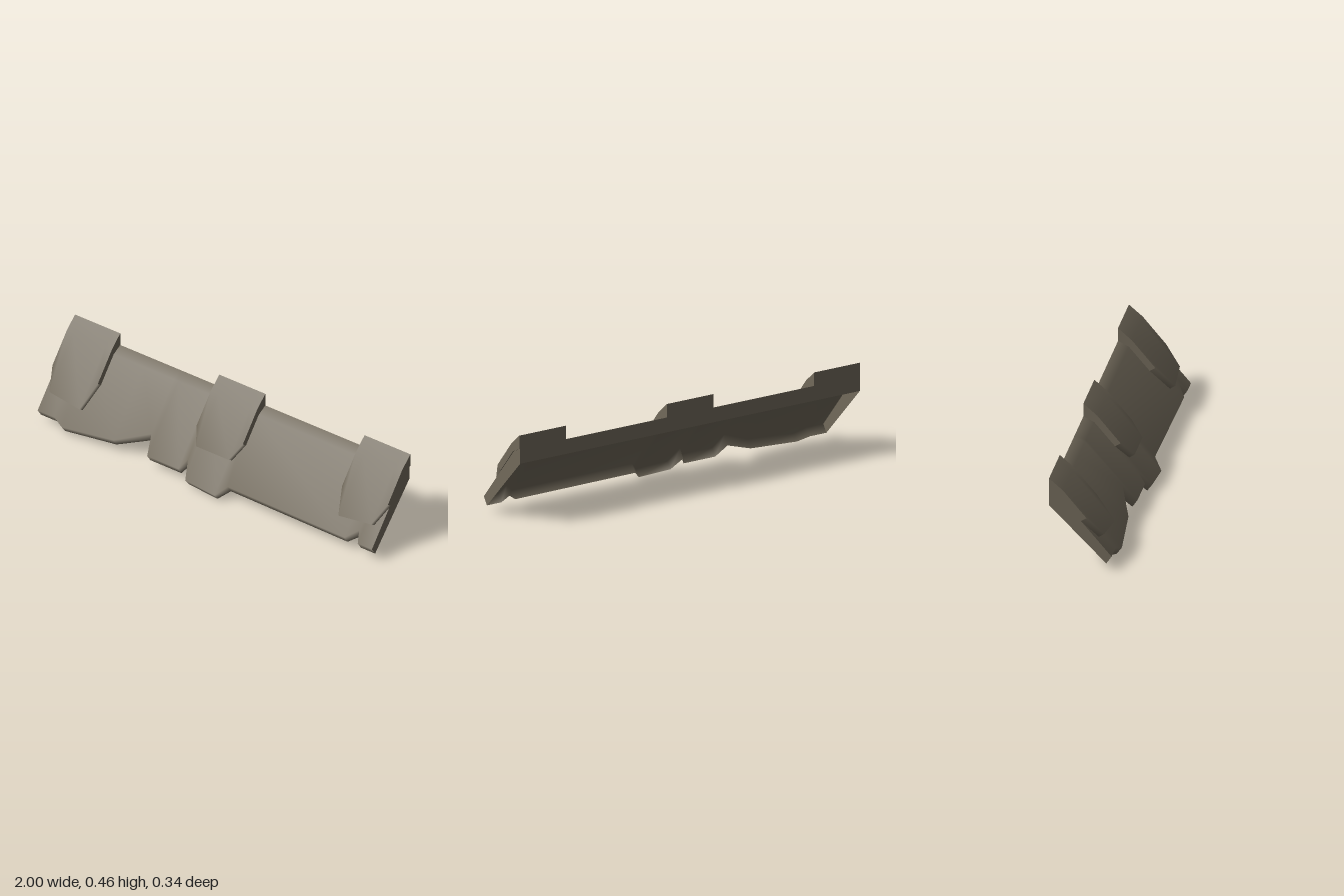
import * as THREE from 'three';
import { mergeGeometries } from 'three/addons/utils/BufferGeometryUtils.js';

const stone = new THREE.MeshStandardMaterial({ color: 0x726a5b, side: THREE.DoubleSide });
stone.name = 'weathered stone';

const BACK = -0.168;
// Sloping face of the slab: depth at height y
const slopeZ = (y) => -0.115 + (0.37 - y) / 1.17;

function surface(points, index) {
  const geo = new THREE.BufferGeometry();
  geo.setAttribute('position', new THREE.Float32BufferAttribute(points.flat(), 3));
  geo.setIndex(index);
  geo.computeVertexNormals();
  return geo;
}

// Smooth sheet through equal-length rows of points
function sheet(rows) {
  const n = rows[0].length, index = [];
  for (let i = 0; i < rows.length - 1; i++) {
    for (let k = 0; k < n - 1; k++) {
      const a = i * n + k, b = a + n;
      index.push(a, a + 1, b + 1, a, b + 1, b);
    }
  }
  return surface(rows.flat(), index);
}

// Flat end wall, fanned from the last point of its outline
function endWall(ring, facesLeft) {
  const hub = ring.length - 1, index = [];
  for (let k = 0; k < hub - 1; k++) {
    index.push(hub, ...(facesLeft ? [k, k + 1] : [k + 1, k]));
  }
  return surface(ring, index);
}

// Shell, open underneath, through outlines of [z, y] points at increasing x:
// points 0-1 make the back wall, points 1-4 the top, slope and lip
function shell(name, columns, outlineAt) {
  const rings = columns.map(([x, y]) => outlineAt(y).map(([z, h]) => [x, h, z]));
  const mesh = new THREE.Mesh(mergeGeometries([
    sheet(rings.map((r) => r.slice(0, 2))),
    sheet(rings.map((r) => r.slice(1, 5))),
    endWall(rings[0], false),
    endWall(rings[rings.length - 1], true),
  ]), stone);
  mesh.name = name;
  return mesh;
}

// Slab section whose lip ends at height y
function slabOutline(y) {
  const zBottom = 0.1465 - y / 1.02;
  const zTop = zBottom + 0.026;
  return [
    [BACK, 0.32], [BACK, 0.395], [-0.115, 0.37],
    [zTop, 0.37 - (zTop + 0.115) * 1.17], [zBottom, y],
  ];
}

// Raised pad section whose lower end meets the slab at height y
function padOutline(y) {
  const yTop = y + 0.018;
  return [
    [BACK, 0.395], [BACK, 0.463], [-0.1, 0.405],
    [-0.1 + (0.405 - yTop) / 1.19, yTop], [slopeZ(y), y], [-0.115, 0.37],
  ];
}

export function createModel() {
  const model = new THREE.Group();
  model.name = 'brokenLedge';

  // Slab with a jagged lower edge: [x, lip height]
  model.add(shell('slab', [
    [-0.998, 0.035], [-0.9, 0.035], [-0.84, 0.015], [-0.55, 0.04],
    [-0.37, 0.105], [-0.345, 0.035], [-0.16, 0.035], [-0.13, 0.075],
    [-0.1, 0.01], [0.08, 0.001], [0.13, 0.043], [0.83, 0.037],
    [0.89, 0.076], [0.91, 0.036], [0.995, 0.036],
  ], slabOutline));

  // Three raised pads with tapered lower ends
  const pads = {
    rightPad: [[-1, 0.25], [-0.96, 0.155], [-0.77, 0.138], [-0.73, 0.25]],
    middlePad: [[-0.14, 0.25], [-0.1, 0.178], [0.095, 0.178], [0.135, 0.25]],
    leftPad: [[0.727, 0.25], [0.77, 0.144], [0.955, 0.16], [1, 0.25]],
  };
  for (const [name, columns] of Object.entries(pads)) {
    model.add(shell(name, columns, padOutline));
  }
  return model;
}
